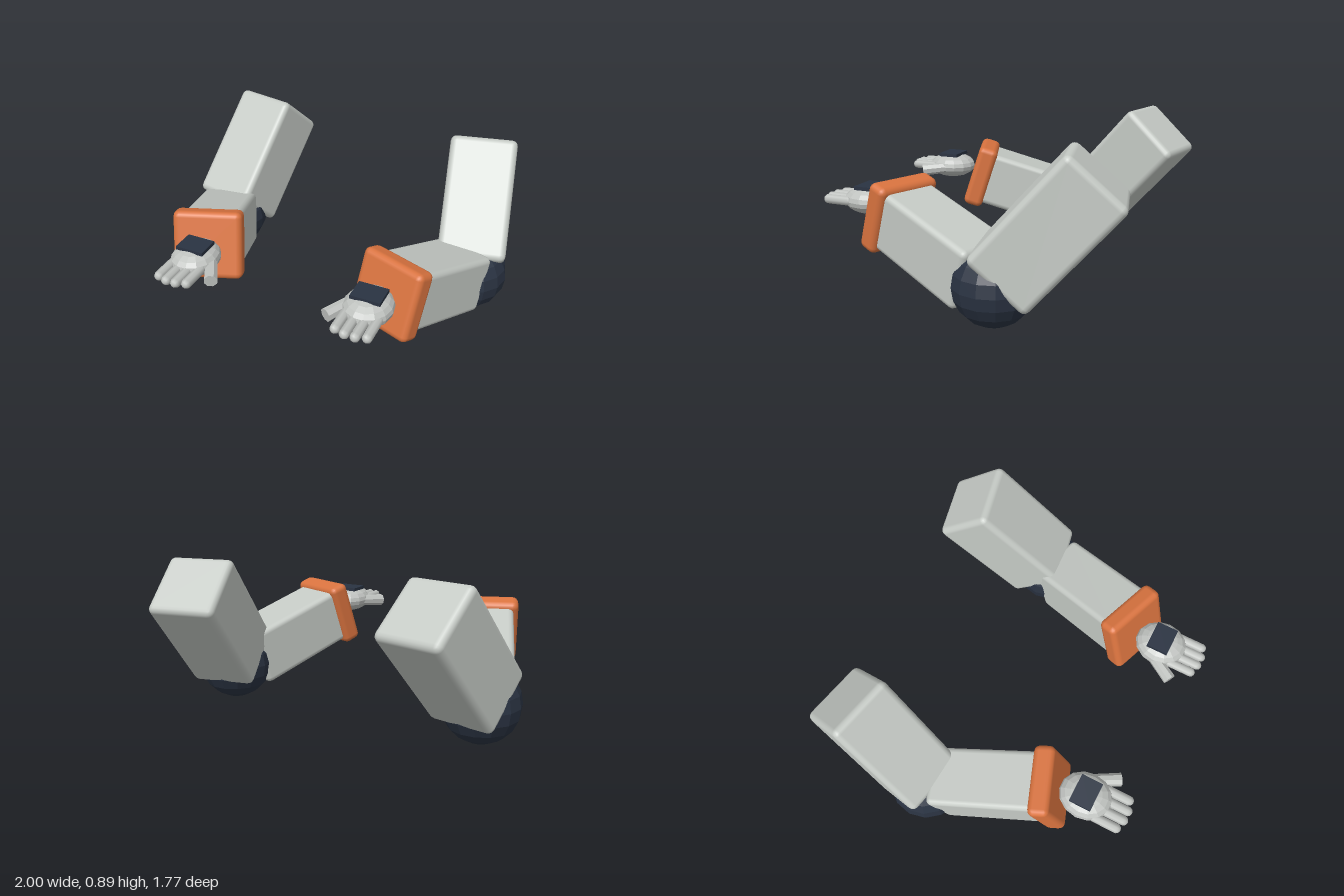
import * as THREE from 'three';
import { RoundedBoxGeometry } from 'three/addons/geometries/RoundedBoxGeometry.js';

const shell = new THREE.MeshStandardMaterial({ color: 0xc5cac5 });
const glove = new THREE.MeshStandardMaterial({ color: 0xbfc2bf });
const orange = new THREE.MeshStandardMaterial({ color: 0xd9733f });
const navy = new THREE.MeshStandardMaterial({ color: 0x2a3342 });

// Faceted version of a geometry
function faceted(geometry) {
  const g = geometry.toNonIndexed();
  g.computeVertexNormals();
  return g;
}

function add(parent, name, geometry, material, x, y, z) {
  const mesh = new THREE.Mesh(geometry, material);
  mesh.name = name;
  mesh.position.set(x, y, z);
  parent.add(mesh);
  return mesh;
}

// Square bevelled block lying between two distances on the line from a to b
function block(parent, name, a, b, start, end, size, bevel, material) {
  const dir = b.clone().sub(a).normalize();
  const mid = a.clone().addScaledVector(dir, (start + end) / 2);
  const geometry = new RoundedBoxGeometry(size, size, end - start, 2, bevel);
  const mesh = add(parent, name, geometry, material, mid.x, mid.y, mid.z);
  mesh.lookAt(mid.clone().add(dir));
  return mesh;
}

function createHand(side) {
  const hand = new THREE.Group();
  hand.name = 'hand';
  hand.position.set(side * 0.498, 0.48, 0.615);

  const palm = faceted(new THREE.SphereGeometry(1, 14, 10).scale(0.13, 0.077, 0.15));
  add(hand, 'palm', palm, glove, 0, 0, 0);
  add(hand, 'backPlate', new THREE.BoxGeometry(0.16, 0.02, 0.124), navy, 0, 0.074, -0.005);

  // Four straight fingers, the middle pair a little longer
  [-1.5, -0.5, 0.5, 1.5].forEach((slot) => {
    const tip = Math.abs(slot) > 1 ? 0.245 : 0.262;
    const length = tip - 0.06;
    const finger = new THREE.CapsuleGeometry(0.027, length - 0.054, 4, 8).rotateX(Math.PI / 2);
    add(hand, 'finger', finger, glove, slot * 0.055, 0, tip - length / 2);
  });

  // Thumb splayed toward the inner side
  const from = new THREE.Vector3(-side * 0.085, -0.002, -0.02);
  const to = new THREE.Vector3(-side * 0.172, -0.016, 0.132);
  const thumb = add(
    hand, 'thumb',
    faceted(new THREE.CylinderGeometry(0.037, 0.033, from.distanceTo(to), 8)), glove,
    (from.x + to.x) / 2, (from.y + to.y) / 2, (from.z + to.z) / 2
  );
  thumb.quaternion.setFromUnitVectors(new THREE.Vector3(0, 1, 0), to.clone().sub(from).normalize());
  return hand;
}

function createArm(side) {
  const arm = new THREE.Group();
  arm.name = side > 0 ? 'leftArm' : 'rightArm';
  const elbow = new THREE.Vector3(side * 0.787, 0.212, -0.24);
  const shoulder = new THREE.Vector3(side * 0.68, 0.775, -0.73);
  const wrist = new THREE.Vector3(side * 0.54, 0.437, 0.42);
  const reach = elbow.distanceTo(wrist);

  block(arm, 'upperArm', elbow, shoulder, 0.05, elbow.distanceTo(shoulder), 0.38, 0.035, shell);
  block(arm, 'forearm', elbow, wrist, 0.08, reach, 0.33, 0.032, shell);
  block(arm, 'cuff', elbow, wrist, reach - 0.06, reach + 0.06, 0.385, 0.035, orange);
  add(arm, 'elbowJoint', faceted(new THREE.SphereGeometry(0.212, 14, 10)), navy, elbow.x, elbow.y, elbow.z);
  arm.add(createHand(side));
  return arm;
}

export function createModel() {
  const model = new THREE.Group();
  model.name = 'pairOfArms';
  model.add(createArm(1), createArm(-1));
  return model;
}
